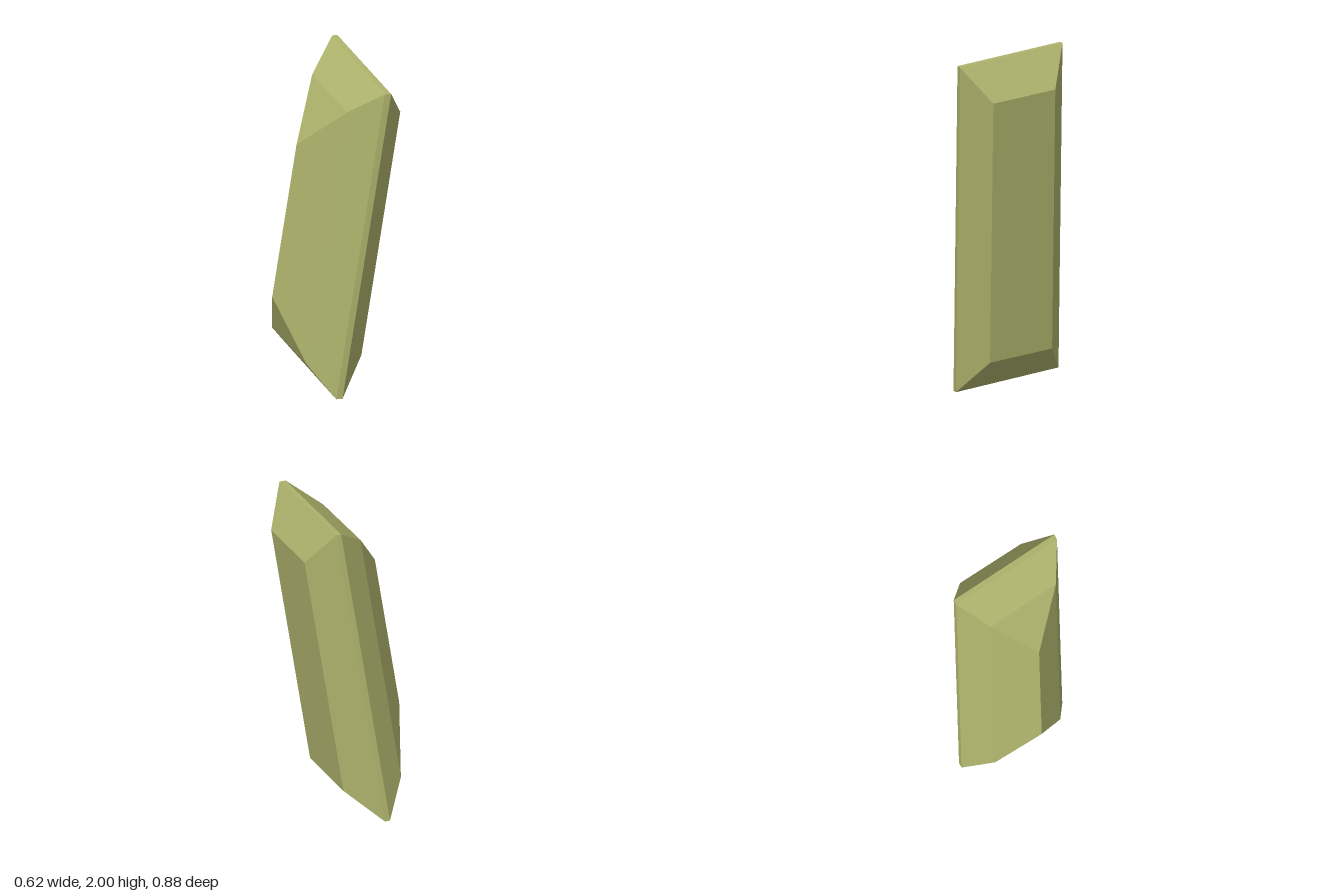
import * as THREE from 'three';

// The stone's long axis, per unit of height
const AXIS = new THREE.Vector3(0.0774, 1, 0.1194);

// A rectangular outline of the cut: its two upper corners, swept down the axis
function outline(front, back, length) {
  const f = new THREE.Vector3(...front);
  const b = new THREE.Vector3(...back);
  const down = AXIS.clone().multiplyScalar(-length);
  return [f, b, b.clone().add(down), f.clone().add(down)];
}

// Flat facets joining successive outlines, optionally closed on the first one
function facets(levels, closeFirst = false) {
  const positions = [];
  const triangle = (a, b, c) => {
    if (a.equals(b) || b.equals(c) || c.equals(a)) return;
    for (const p of [a, b, c]) positions.push(p.x, p.y, p.z);
  };
  const quad = (a, b, c, d) => {
    triangle(a, b, c);
    triangle(a, c, d);
  };
  if (closeFirst) quad(...[...levels[0]].reverse());
  for (let k = 0; k + 1 < levels.length; k++) {
    const upper = levels[k];
    const lower = levels[k + 1];
    for (let i = 0; i < 4; i++) {
      const j = (i + 1) % 4;
      quad(upper[i], upper[j], lower[j], lower[i]);
    }
  }
  const geometry = new THREE.BufferGeometry();
  geometry.setAttribute('position', new THREE.Float32BufferAttribute(positions, 3));
  geometry.computeVertexNormals();
  return geometry;
}

export function createModel() {
  const group = new THREE.Group();
  group.name = 'cutGem';
  const material = new THREE.MeshStandardMaterial({ color: 0xaeb36c, flatShading: true });

  const table = outline([0.115, 1.74, 0.365], [0.312, 1.77, -0.01], 1.55);
  const girdleUpper = outline([-0.062, 1.945, 0.435], [0.26, 2.0, -0.193], 1.943);
  const girdleLower = outline([-0.09, 1.947, 0.412], [0.235, 2.0, -0.21], 1.943);
  const step = outline([-0.182, 1.81, 0.215], [0.025, 1.842, -0.193], 1.61);
  const keel = outline([-0.237, 1.53, -0.105], [-0.237, 1.53, -0.105], 0.97);

  const add = (name, geometry) => {
    const mesh = new THREE.Mesh(geometry, material);
    mesh.name = name;
    group.add(mesh);
  };
  // Flat table with its bevelled surround
  add('crown', facets([table, girdleUpper], true));
  // Narrow band around the widest outline
  add('girdle', facets([girdleUpper, girdleLower]));
  // Two-step underside narrowing to a ridge
  add('pavilion', facets([girdleLower, step, keel]));

  return group;
}
